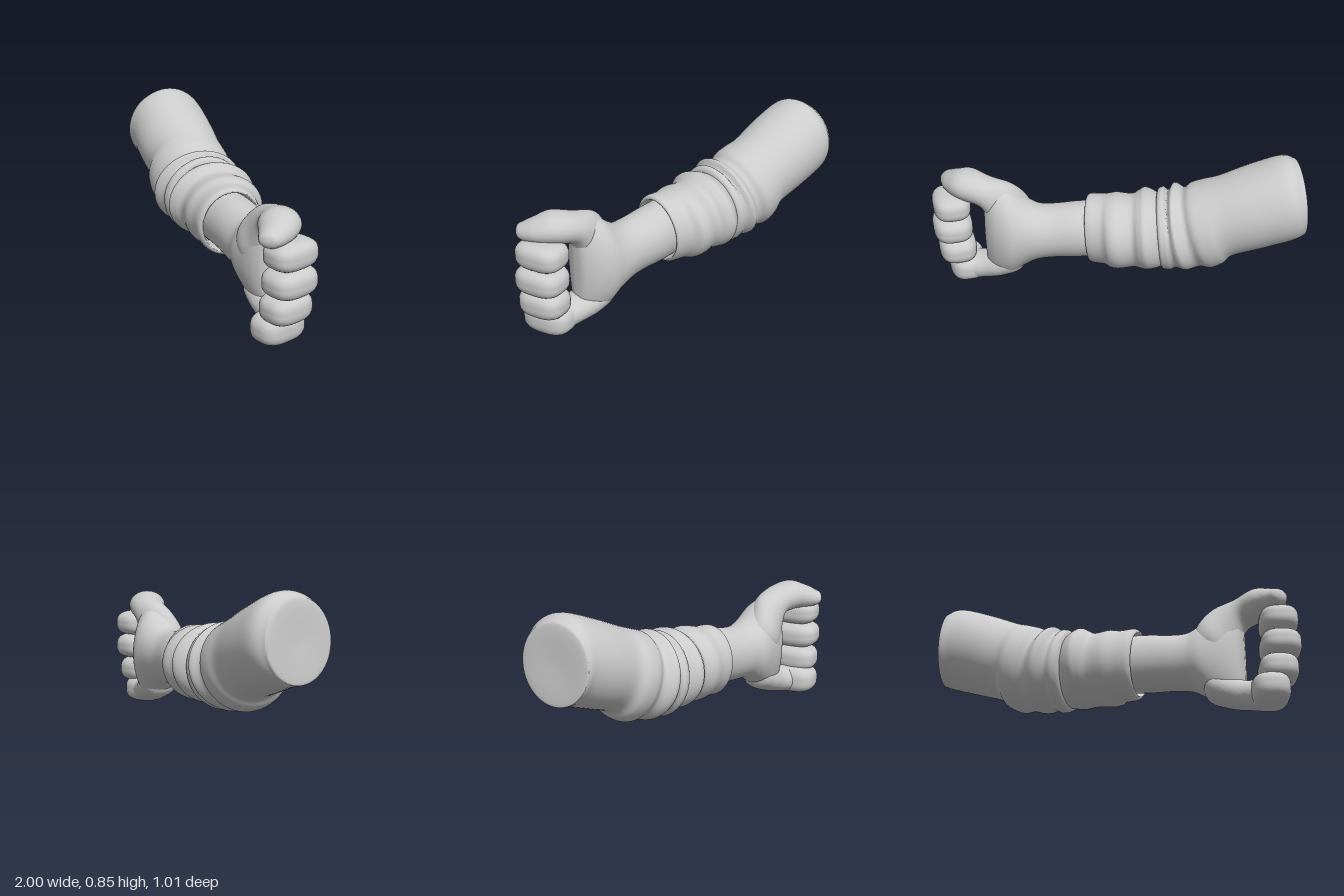
import * as THREE from 'three';
import { toCreasedNormals } from 'three/addons/utils/BufferGeometryUtils.js';

const material = new THREE.MeshStandardMaterial({ color: 0xcccccc });

function addMesh(group, name, geometry) {
  const mesh = new THREE.Mesh(geometry, material);
  mesh.name = name;
  group.add(mesh);
  return mesh;
}

// Catmull-Rom blend of four numbers
function blend(a, b, c, d, t) {
  const m0 = (c - a) / 2, m1 = (d - b) / 2;
  return (2 * b - 2 * c + m0 + m1) * t ** 3 + (3 * c - 3 * b - 2 * m0 - m1) * t * t + m0 * t + b;
}

// Smooth loft through elliptical sections:
// [x, y, z, vertical radius, horizontal radius, yaw in degrees, lean of the section]
function loft(sections, crease = 0.9, around = 56, steps = 6) {
  const at = i => sections[Math.min(Math.max(i, 0), sections.length - 1)];
  const rows = [];
  for (let i = 0; i < sections.length - 1; i++) {
    for (let s = 0; s < steps; s++) {
      rows.push(at(i).map((v, k) => blend(at(i - 1)[k], v, at(i + 1)[k], at(i + 2)[k], s / steps)));
    }
  }
  rows.push(at(sections.length - 1));
  const positions = [], index = [];
  rows.forEach(([x, y, z, up, side, yaw, lean], i) => {
    const a = THREE.MathUtils.degToRad(yaw);
    const ry = Math.max(up, 0), rz = Math.max(side, 0);
    for (let j = 0; j < around; j++) {
      const th = (j / around) * Math.PI * 2;
      const v = Math.cos(th) * ry, h = Math.sin(th) * rz;
      positions.push(
        x + h * Math.sin(a) + v * lean * Math.cos(a),
        y + v,
        z - h * Math.cos(a) + v * lean * Math.sin(a));
      if (i < rows.length - 1) {
        const n = (j + 1) % around, p = i * around, q = p + around;
        index.push(p + j, q + j, p + n, p + n, q + j, q + n);
      }
    }
  });
  const g = new THREE.BufferGeometry();
  g.setAttribute('position', new THREE.Float32BufferAttribute(positions, 3));
  g.setIndex(index);
  return toCreasedNormals(g, crease);
}

// Sphere squared off towards a rounded block
function roundedBlob(rx, ry, rz, power) {
  const g = new THREE.SphereGeometry(1, 40, 28);
  const p = g.attributes.position;
  const v = new THREE.Vector3();
  for (let i = 0; i < p.count; i++) {
    v.fromBufferAttribute(p, i);
    const k = (Math.abs(v.x) ** power + Math.abs(v.y) ** power + Math.abs(v.z) ** power) ** (-1 / power);
    p.setXYZ(i, v.x * k * rx, v.y * k * ry, v.z * k * rz);
  }
  g.deleteAttribute('normal');
  g.deleteAttribute('uv');
  return toCreasedNormals(g, 1.2);
}

export function createModel() {
  const group = new THREE.Group();
  group.name = 'forearm';

  // Upper sleeve with a flat end and slanting folds
  addMesh(group, 'upperSleeve', loft([
    [-0.965, 0.605, -0.27, 0, 0, 8, 0.08],
    [-0.97, 0.605, -0.27, 0.19, 0.185, 8, 0.08],
    [-0.95, 0.61, -0.27, 0.222, 0.217, 9, 0.1],
    [-0.88, 0.61, -0.27, 0.24, 0.235, 12, 0.12],
    [-0.72, 0.55, -0.22, 0.235, 0.237, 16, 0.16],
    [-0.58, 0.49, -0.175, 0.222, 0.226, 20, 0.26],
    [-0.52, 0.447, -0.147, 0.232, 0.245, 22, 0.33],
    [-0.46, 0.417, -0.125, 0.235, 0.245, 23, 0.35],
    [-0.41, 0.4, -0.105, 0.22, 0.222, 23, 0.32],
    [-0.35, 0.398, -0.08, 0.238, 0.262, 22, 0.25],
    [-0.305, 0.383, -0.07, 0.215, 0.23, 20, 0.18],
    [-0.27, 0.382, -0.055, 0.235, 0.235, 18, 0.12],
    [-0.23, 0.38, -0.05, 0.2, 0.2, 18, 0.1],
    [-0.23, 0.38, -0.05, 0, 0, 18, 0.1],
  ]));

  // Bunched lower sleeve, rolled inwards at the cuff
  addMesh(group, 'lowerSleeve', loft([
    [-0.26, 0.38, -0.06, 0.15, 0.15, 18, 0.1],
    [-0.235, 0.38, -0.055, 0.203, 0.21, 18, 0.1],
    [-0.17, 0.387, -0.035, 0.222, 0.26, 18, 0.1],
    [-0.13, 0.38, -0.025, 0.214, 0.243, 18, 0.09],
    [-0.09, 0.37, -0.01, 0.206, 0.215, 18, 0.08],
    [-0.01, 0.37, 0.01, 0.212, 0.23, 18, 0.08],
    [0.03, 0.367, 0.025, 0.208, 0.222, 19, 0.08],
    [0.06, 0.365, 0.05, 0.201, 0.2, 20, 0.08],
    [0.12, 0.363, 0.08, 0.202, 0.186, 20, 0.08],
    [0.142, 0.363, 0.085, 0.192, 0.174, 20, 0.08],
    [0.138, 0.363, 0.083, 0.176, 0.16, 20, 0.08],
    [0.07, 0.365, 0.065, 0.16, 0.148, 20, 0.08],
  ]));

  // Wrist widening into the palm
  addMesh(group, 'wristAndPalm', loft([
    [0.05, 0.37, 0.06, 0.16, 0.15, 18, 0.08],
    [0.2, 0.362, 0.093, 0.162, 0.15, 18, 0.08],
    [0.33, 0.348, 0.135, 0.157, 0.146, 18, 0.05],
    [0.42, 0.342, 0.16, 0.165, 0.15, 18, 0.02],
    [0.49, 0.338, 0.185, 0.205, 0.158, 20, 0],
    [0.56, 0.338, 0.202, 0.262, 0.155, 22, 0],
    [0.62, 0.342, 0.228, 0.285, 0.135, 24, 0],
    [0.665, 0.345, 0.25, 0.285, 0.105, 24, 0],
    [0.695, 0.345, 0.265, 0.26, 0.065, 24, 0],
    [0.705, 0.345, 0.27, 0.24, 0, 24, 0],
  ]));

  // Thumb, rising from the palm and folding over the fingers
  addMesh(group, 'thumb', loft([
    [0.44, 0.39, 0.24, 0, 0, 15, -0.4],
    [0.47, 0.4, 0.245, 0.075, 0.065, 15, -0.4],
    [0.54, 0.43, 0.255, 0.12, 0.1, 18, -0.5],
    [0.62, 0.51, 0.25, 0.12, 0.1, 20, -0.5],
    [0.7, 0.585, 0.265, 0.085, 0.1, 24, -0.25],
    [0.79, 0.613, 0.325, 0.087, 0.11, 40, 0],
    [0.84, 0.603, 0.39, 0.068, 0.092, 54, 0.2],
    [0.865, 0.592, 0.445, 0.052, 0.07, 60, 0.2],
    [0.88, 0.59, 0.485, 0.033, 0.045, 62, 0.1],
    [0.885, 0.59, 0.496, 0, 0, 62, 0],
  ], 1.2));

  // Edge of the hand running into the little finger
  addMesh(group, 'littleFingerBase', loft([
    [0.48, 0.2, 0.2, 0, 0, 20, 0.3],
    [0.53, 0.175, 0.205, 0.075, 0.1, 22, 0.3],
    [0.62, 0.13, 0.235, 0.08, 0.11, 26, 0.25],
    [0.71, 0.098, 0.275, 0.078, 0.095, 30, 0.15],
    [0.8, 0.084, 0.32, 0.08, 0.1, 40, 0],
    [0.86, 0.086, 0.35, 0.06, 0.08, 45, 0],
    [0.89, 0.087, 0.365, 0, 0, 45, 0],
  ], 1.2));

  // Curled fingers: [name, x, y, z, half sizes]
  const fingers = [
    ['indexFinger', 0.885, 0.495, 0.337, 0.105, 0.076, 0.138],
    ['middleFinger', 0.887, 0.35, 0.342, 0.111, 0.078, 0.139],
    ['ringFinger', 0.868, 0.205, 0.348, 0.106, 0.079, 0.132],
    ['littleFinger', 0.818, 0.085, 0.355, 0.104, 0.083, 0.142],
  ];
  for (const [name, x, y, z, rx, ry, rz] of fingers) {
    addMesh(group, name, roundedBlob(rx, ry, rz, 2.9)).position.set(x, y, z);
  }

  return group;
}
